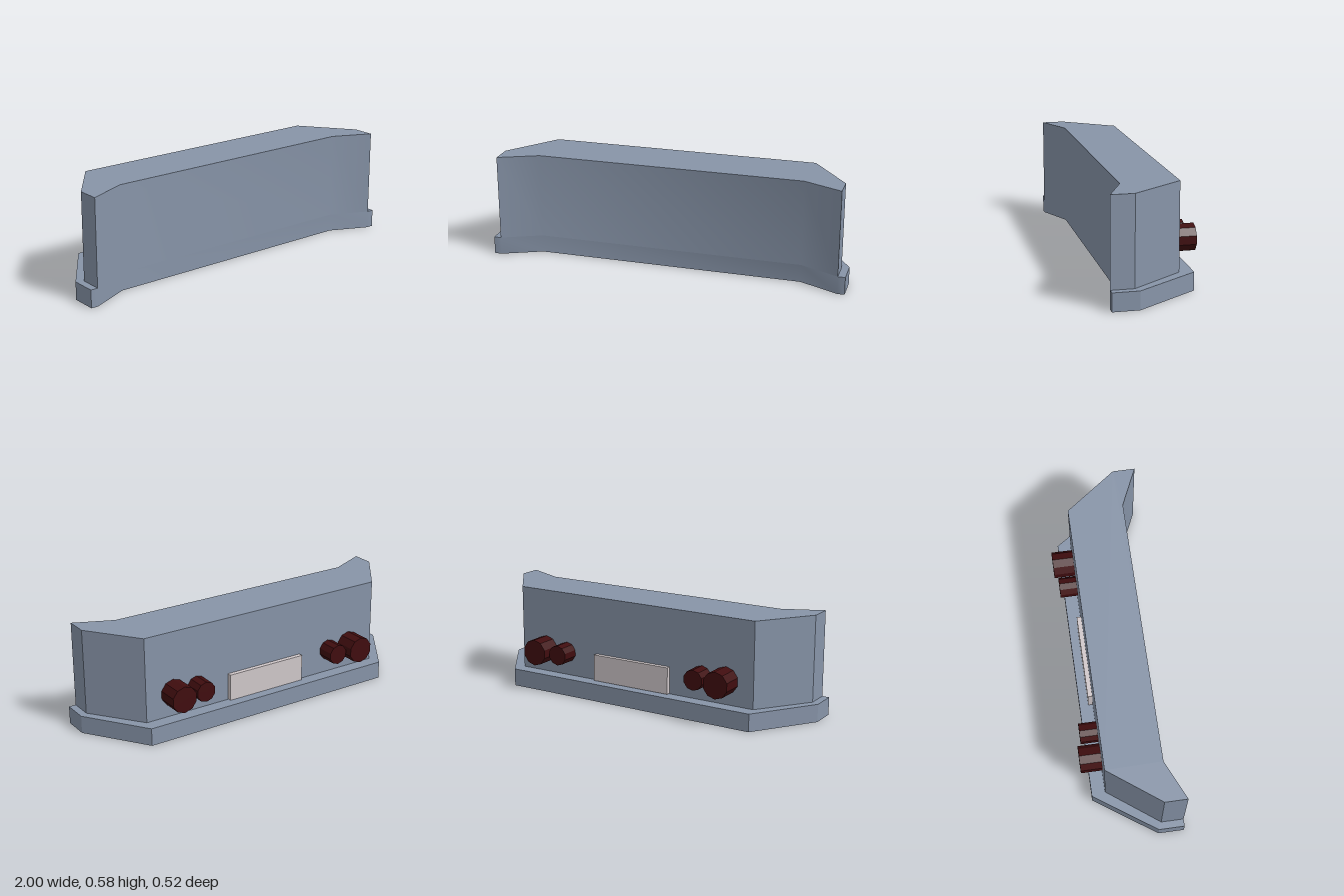
import * as THREE from 'three';
import { toCreasedNormals } from 'three/addons/utils/BufferGeometryUtils.js';

const paint = new THREE.MeshStandardMaterial({ color: 0x8794a8 });
const plateMat = new THREE.MeshStandardMaterial({ color: 0xd0c8ca });
const lampMat = new THREE.MeshStandardMaterial({ color: 0x400d0f, flatShading: true });

// Mirrored plan outline of [x, z] points, raised from y0 to y1
function slab(name, half, y0, y1) {
  const outline = [...half, ...half.map(([x, z]) => [-x, z]).reverse()];
  const shape = new THREE.Shape(outline.map(([x, z]) => new THREE.Vector2(x, -z)));
  const geo = new THREE.ExtrudeGeometry(shape, { depth: y1 - y0, bevelEnabled: false });
  geo.rotateX(-Math.PI / 2).translate(0, y0, 0);
  const mesh = new THREE.Mesh(toCreasedNormals(geo, 0.5), paint);
  mesh.name = name;
  return mesh;
}

// Ten-sided lamp standing out of the rear wall
function lamp(name, x, radius, depth) {
  const geo = new THREE.CylinderGeometry(radius, radius, depth, 10);
  geo.rotateX(-Math.PI / 2);
  const mesh = new THREE.Mesh(geo, lampMat);
  mesh.position.set(x, 0.234, -0.144 - depth / 2);
  mesh.name = name;
  return mesh;
}

export function createModel() {
  const group = new THREE.Group();
  group.name = 'rearPanel';

  // Wider sill below, wall flush with it at the front
  group.add(slab('bumperSill', [[0.745, 0.165], [0.96, 0.262], [1, 0.262], [1, 0.12], [0.765, -0.219]], 0, 0.099));
  group.add(slab('wall', [[0.745, 0.165], [0.96, 0.262], [0.96, 0.138], [0.75, -0.144]], 0.099, 0.577));

  // Blank plate
  const plate = new THREE.Mesh(new THREE.BoxGeometry(0.48, 0.15, 0.025), plateMat);
  plate.position.set(0, 0.177, -0.1565);
  plate.name = 'plate';
  group.add(plate);

  // Paired lamps on both sides
  for (const [side, label] of [[1, 'left'], [-1, 'right']]) {
    group.add(lamp(label + 'OuterLamp', side * 0.585, 0.0745, 0.119));
    group.add(lamp(label + 'InnerLamp', side * 0.44, 0.057, 0.099));
  }
  return group;
}
